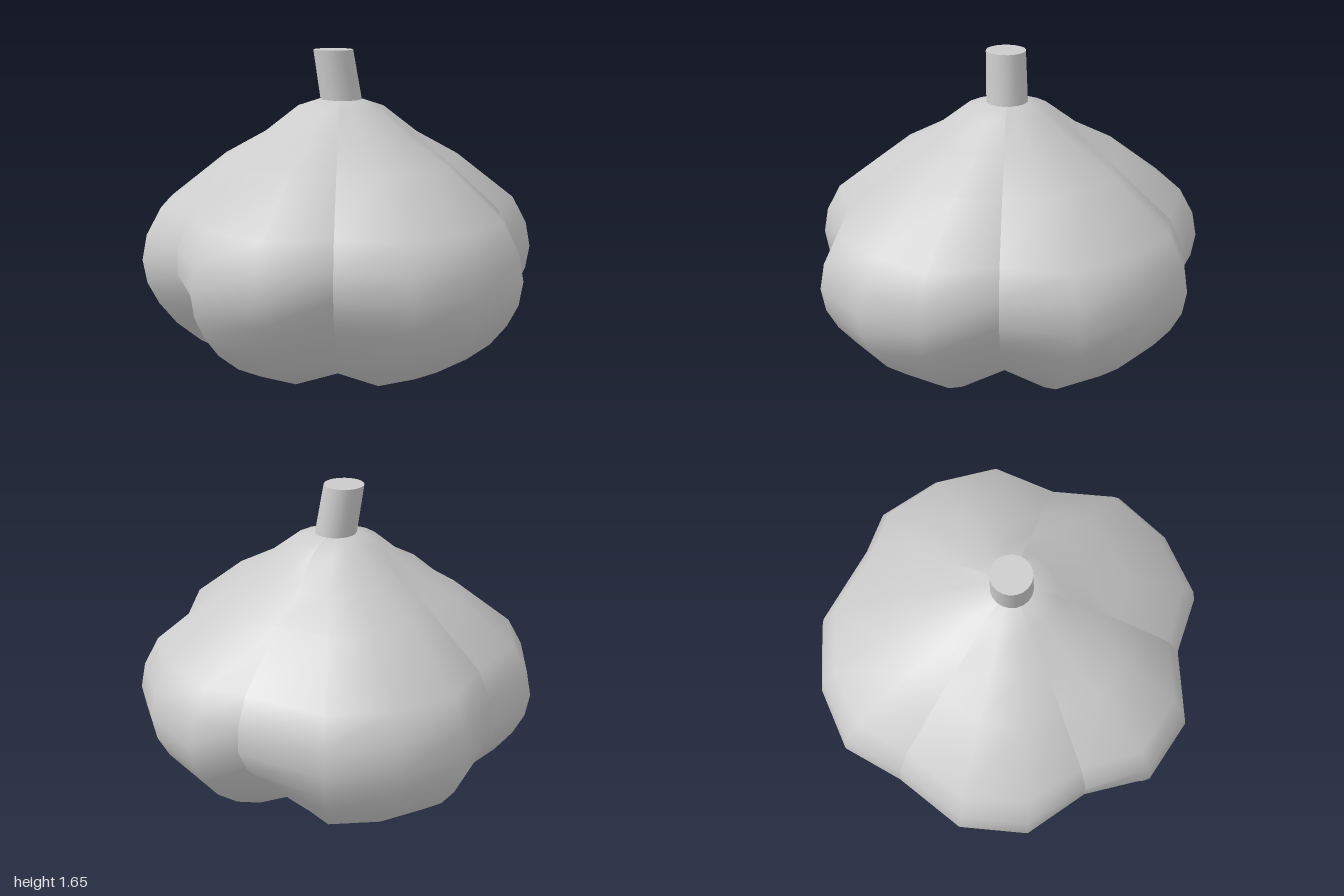
import * as THREE from 'three';

// Vertical profile: [radius factor, height, groove depth]
const PROFILE = [
  [0, 0, 0], [0.3, 0.015, 0.26], [0.57, 0.08, 0.25], [0.72, 0.16, 0.22], [0.84, 0.26, 0.18],
  [0.925, 0.37, 0.13], [0.98, 0.48, 0.07], [1, 0.6, 0.02], [0.975, 0.73, 0], [0.9, 0.87, 0],
  [0.6, 1.11, 0], [0.39, 1.23, 0], [0.22, 1.365, 0], [0.1, 1.405, 0], [0, 1.41, 0],
];

// Plan outline of each clove as [x, z]; the end points lie in the grooves.
// depth gives the groove strength at the start and end of the clove.
const CLOVES = [
  { name: 'backLeftClove', depth: [1, 1],
    plan: [[0.42, -0.82], [0.65, -0.76], [0.88, -0.49], [1, -0.16], [0.88, 0.19]] },
  { name: 'frontLeftClove', depth: [1, 1],
    plan: [[0.88, 0.19], [0.88, 0.55], [0.66, 0.82], [0.35, 0.99], [-0.005, 0.92]] },
  { name: 'frontRightClove', depth: [1, 1],
    plan: [[-0.005, 0.92], [-0.35, 0.97], [-0.66, 0.8], [-0.79, 0.48]] },
  { name: 'rightClove', depth: [1, 0.25],
    plan: [[-0.79, 0.48], [-1, 0.2], [-1, -0.15], [-0.79, -0.48]] },
  { name: 'backClove', depth: [0.25, 1],
    plan: [[-0.79, -0.48], [-0.65, -0.78], [-0.35, -0.95], [0, -1], [0.42, -0.82]] },
];

const CENTRE_Z = 0.02;

// Skin of one clove: its plan outline swept up the profile
function cloveGeometry({ plan, depth }) {
  const positions = [], indices = [];
  const cols = plan.length;
  PROFILE.forEach(([r, y, groove]) => {
    // The outline becomes round towards the neck
    const round = THREE.MathUtils.smoothstep(y, 1.1, 1.4);
    plan.forEach(([x, z], i) => {
      const dz = z - CENTRE_Z;
      const end = i === 0 ? depth[0] : i === cols - 1 ? depth[1] : 0;
      const reach = THREE.MathUtils.lerp(1, 1 / Math.hypot(x, dz), round);
      const s = r * (1 - groove * end) * reach;
      positions.push(x * s, y, CENTRE_Z + dz * s);
    });
  });
  for (let j = 0; j < PROFILE.length - 1; j++) {
    for (let i = 0; i < cols - 1; i++) {
      const a = j * cols + i, b = a + 1, c = a + cols, d = c + 1;
      if (j > 0) indices.push(a, c, b);
      if (j < PROFILE.length - 2) indices.push(b, c, d);
      else indices.pop(), indices.pop(), indices.pop(), indices.push(a, c, b);
      if (j === 0) indices.splice(-3, 3, b, c, d);
    }
  }
  const geo = new THREE.BufferGeometry();
  geo.setAttribute('position', new THREE.Float32BufferAttribute(positions, 3));
  geo.setIndex(indices);
  geo.computeVertexNormals();
  return geo;
}

// Cut stem: a cylinder sheared to lean towards -x, with a level top
function stemGeometry() {
  const bottom = 1.37, top = 1.65;
  const geo = new THREE.CylinderGeometry(0.1, 0.105, top - bottom, 20);
  const lean = new THREE.Matrix4().set(
    1, -0.16, 0, -0.015,
    0, 1, 0, (top + bottom) / 2,
    0, 0, 1, 0.022,
    0, 0, 0, 1);
  return geo.applyMatrix4(lean);
}

export function createModel() {
  const model = new THREE.Group();
  model.name = 'garlicBulb';
  const material = new THREE.MeshStandardMaterial({ color: 0xcccccc });
  const add = (name, geometry) => {
    const mesh = new THREE.Mesh(geometry, material);
    mesh.name = name;
    model.add(mesh);
  };
  CLOVES.forEach((clove) => add(clove.name, cloveGeometry(clove)));
  add('stem', stemGeometry());
  return model;
}
